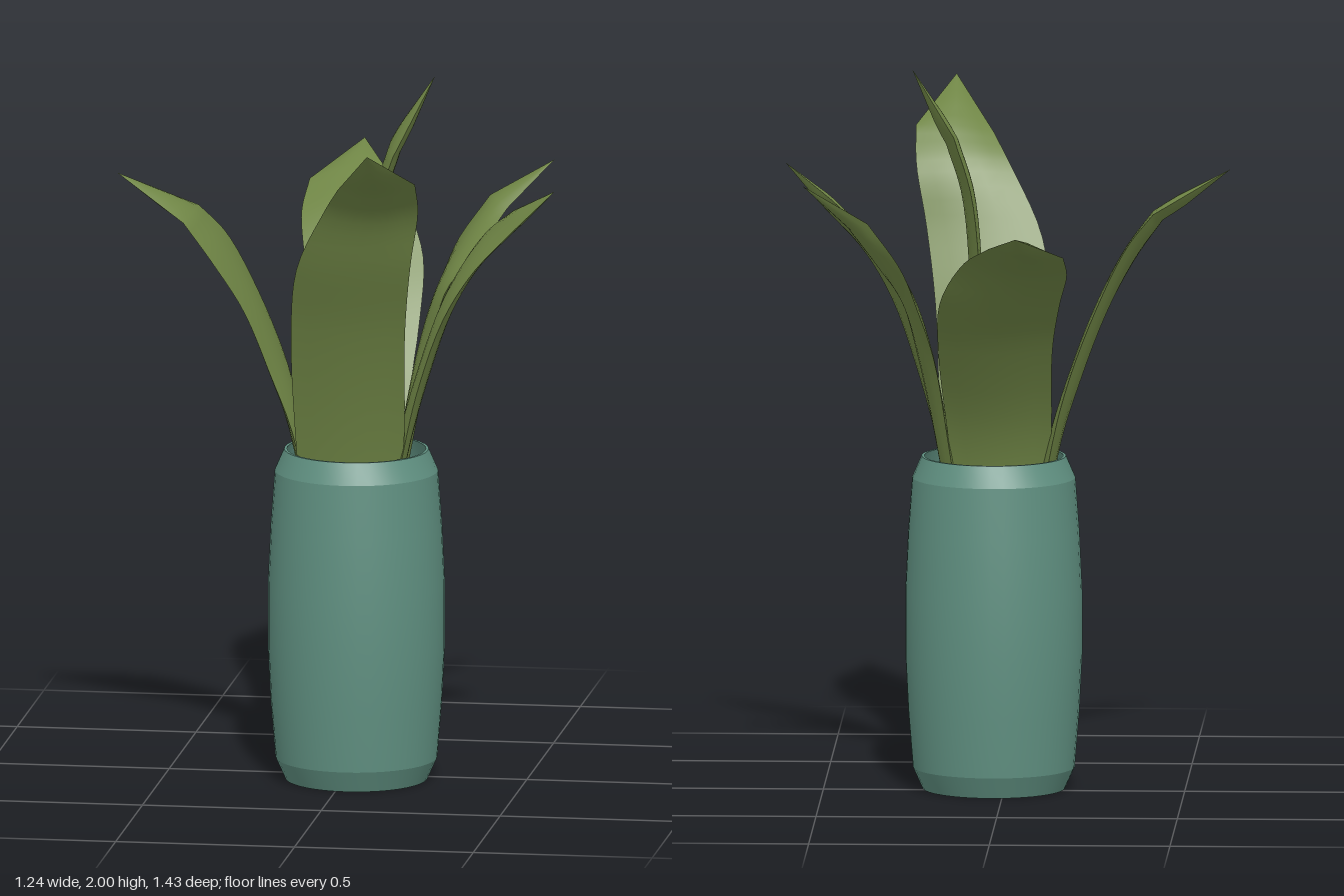
import * as THREE from 'three';
import { toCreasedNormals } from 'three/addons/utils/BufferGeometryUtils.js';

const BODY = 22, TIP = 6, ACROSS = 6;

// Edge of a blade: a curve through the stations, then a straight run to the tip
function edgePoints(stations, tip) {
  const points = stations.map((p) => new THREE.Vector3(...p));
  const body = new THREE.CatmullRomCurve3(points, false, 'centripetal');
  const edge = [];
  for (let j = 0; j <= BODY; j++) edge.push(body.getPoint(j / BODY));
  for (let j = 1; j <= TIP; j++) edge.push(points.at(-1).clone().lerp(new THREE.Vector3(...tip), j / TIP));
  return edge;
}

// Fleshy blade between two edges; the outer face lies on the side (right - left) x growth
function leafGeometry(left, right, tip) {
  const a = edgePoints(left, tip), b = edgePoints(right, tip);
  const rows = a.length, pos = [], index = [];
  const normals = a.map((p, j) => {
    const k = Math.min(j, rows - 2), m = Math.max(k - 1, 0);
    const grow = a[k + 1].clone().sub(a[m]).add(b[k + 1]).sub(b[m]);
    return b[k].clone().sub(a[k]).cross(grow).normalize();
  });
  for (const face of [1, -1]) {
    const base = pos.length / 3;
    for (let j = 0; j < rows; j++) {
      const width = a[j].distanceTo(b[j]);
      for (let i = 0; i <= ACROSS; i++) {
        const u = i / ACROSS;
        const offset = Math.sin(Math.PI * u) * (0.02 * width + face * Math.min(0.018, width * 0.16));
        const c = a[j].clone().lerp(b[j], u).addScaledVector(normals[j], offset);
        pos.push(c.x, c.y, c.z);
      }
    }
    for (let j = 0; j < rows - 1; j++) {
      for (let i = 0; i < ACROSS; i++) {
        const k = base + j * (ACROSS + 1) + i, m = k + ACROSS + 1;
        if (face > 0) index.push(k, k + 1, m, k + 1, m + 1, m);
        else index.push(k, m, k + 1, k + 1, m, m + 1);
      }
    }
  }
  const g = new THREE.BufferGeometry();
  g.setAttribute('position', new THREE.Float32BufferAttribute(pos, 3));
  g.setIndex(index);
  g.computeVertexNormals();
  return g;
}

export function createModel() {
  const model = new THREE.Group();
  const vaseMat = new THREE.MeshStandardMaterial({ color: 0x5f8f80 });
  vaseMat.name = 'glazedTeal';
  const leafMat = new THREE.MeshStandardMaterial({ color: 0x6f8545 });
  leafMat.name = 'leafGreen';

  // Hollow vase: underside, barrel wall, rim, inner wall, floor
  const profile = [
    [0, 0], [0.197, 0], [0.224, 0.06], [0.237, 0.22], [0.245, 0.38], [0.245, 0.55],
    [0.237, 0.72], [0.226, 0.87], [0.2, 0.93], [0.192, 0.93], [0.214, 0.86],
    [0.23, 0.6], [0.227, 0.3], [0.205, 0.06], [0, 0.04],
  ].map(([r, y]) => new THREE.Vector2(r, y));
  const vase = new THREE.Mesh(toCreasedNormals(new THREE.LatheGeometry(profile, 40), 0.27), vaseMat);
  vase.name = 'vase';
  vase.position.set(0.03, 0, 0.043);
  model.add(vase);

  const addLeaf = (name, left, right, tip) => {
    const leaf = new THREE.Mesh(leafGeometry(left, right, tip), leafMat);
    leaf.name = name;
    model.add(leaf);
  };

  // Broad leaf arching forward
  addLeaf('frontLeaf',
    [[-0.08, 0.35, 0.06], [-0.12, 0.95, 0.165], [-0.12, 1.3, 0.265], [-0.09, 1.5, 0.355], [0, 1.68, 0.45], [0.05, 1.76, 0.53]],
    [[0.1, 0.35, 0.06], [0.18, 0.95, 0.165], [0.2, 1.3, 0.275], [0.23, 1.52, 0.37], [0.26, 1.68, 0.43], [0.265, 1.78, 0.52]],
    [0.16, 1.895, 0.715]);
  // Broad leaf arching backward
  addLeaf('backLeaf',
    [[0.08, 0.35, 0.07], [0.15, 0.95, 0], [0.175, 1.25, -0.17], [0.165, 1.41, -0.3], [0.1, 1.53, -0.41], [0.02, 1.6, -0.56]],
    [[-0.08, 0.35, 0.07], [-0.13, 0.95, 0], [-0.14, 1.25, -0.16], [-0.165, 1.4, -0.28], [-0.19, 1.5, -0.4], [-0.185, 1.57, -0.52]],
    [-0.06, 1.65, -0.715]);
  // Leaf on the right side
  addLeaf('rightLeaf',
    [[-0.04, 0.35, -0.03], [-0.13, 0.95, -0.06], [-0.18, 1.15, -0.06], [-0.26, 1.36, -0.035], [-0.34, 1.52, 0], [-0.41, 1.605, 0.045]],
    [[-0.04, 0.35, 0.09], [-0.13, 0.95, 0.11], [-0.2, 1.15, 0.125], [-0.27, 1.33, 0.15], [-0.35, 1.47, 0.19], [-0.43, 1.585, 0.205]],
    [-0.62, 1.715, 0.17]);
  // Two leaves on the left side
  addLeaf('leftFrontLeaf',
    [[0.08, 0.35, 0.14], [0.18, 0.95, 0.17], [0.23, 1.15, 0.2], [0.3, 1.34, 0.22], [0.38, 1.47, 0.22], [0.49, 1.59, 0.23]],
    [[0.06, 0.35, 0.05], [0.16, 0.95, 0.07], [0.23, 1.2, 0.065], [0.3, 1.4, 0.055], [0.39, 1.55, 0.065], [0.48, 1.63, 0.11]],
    [0.615, 1.715, 0.245]);
  addLeaf('leftBackLeaf',
    [[0.08, 0.35, 0.12], [0.18, 0.95, 0.095], [0.24, 1.22, 0.075], [0.28, 1.38, 0.05], [0.355, 1.48, -0.02], [0.43, 1.59, -0.11]],
    [[0.06, 0.35, 0.02], [0.15, 0.95, -0.02], [0.19, 1.21, -0.075], [0.235, 1.36, -0.125], [0.28, 1.48, -0.165], [0.37, 1.61, -0.185]],
    [0.55, 1.715, -0.187]);
  // Tall upright leaf in the middle
  addLeaf('centreLeaf',
    [[0.06, 0.35, 0.14], [0.075, 0.95, 0.17], [0.085, 1.35, 0.19], [0.11, 1.65, 0.19], [0.15, 1.78, 0.17]],
    [[0.06, 0.35, 0.03], [0.06, 0.95, 0.02], [0.065, 1.35, 0.02], [0.09, 1.65, 0.025], [0.14, 1.82, 0.025]],
    [0.258, 2, 0.097]);

  return model;
}
